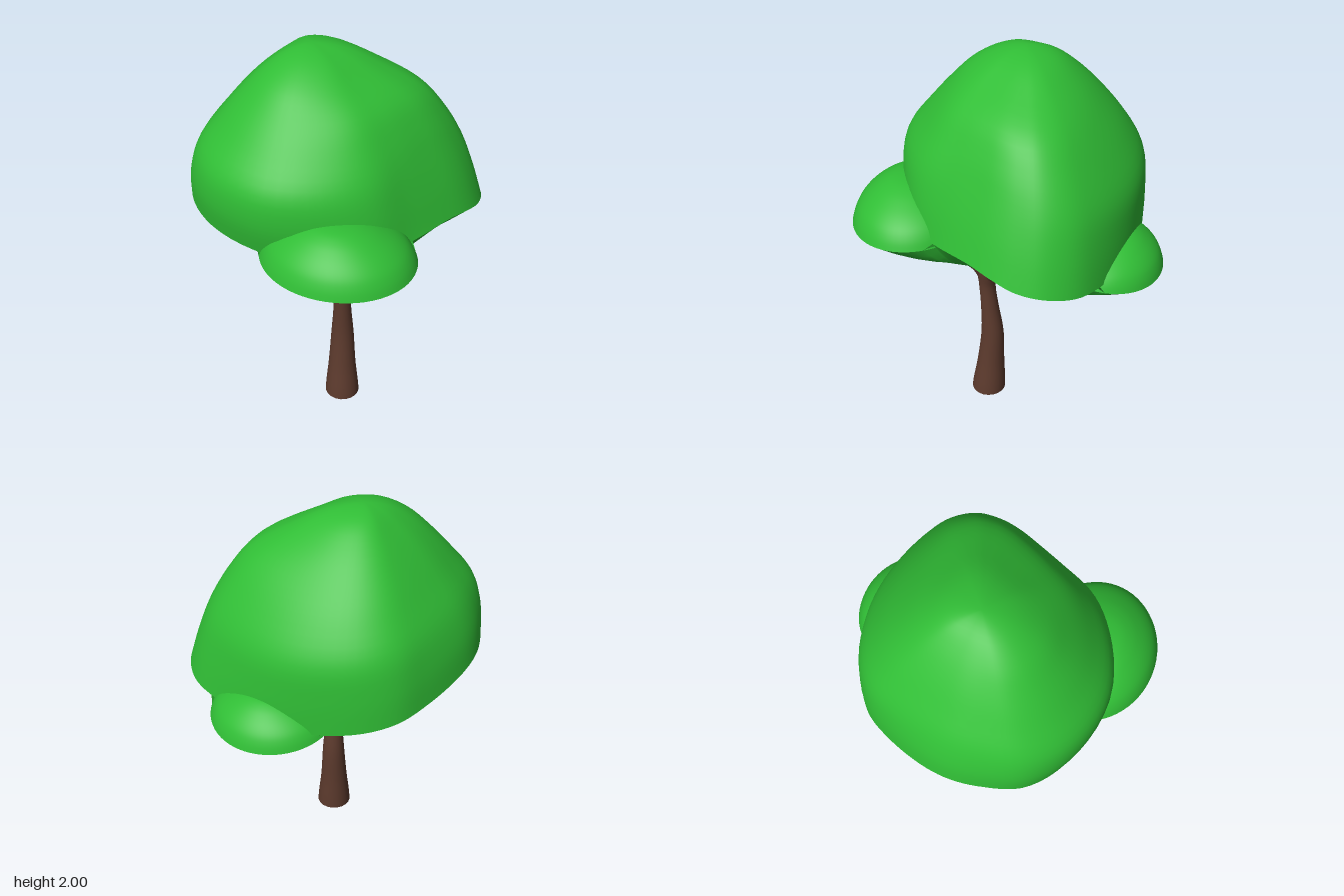
import * as THREE from 'three';
import { mergeVertices } from 'three/addons/utils/BufferGeometryUtils.js';

const leaf = new THREE.MeshStandardMaterial({ color: 0x30bd35, side: THREE.DoubleSide });
const bark = new THREE.MeshStandardMaterial({ color: 0x5c3a2d });
const V = (x, y, z) => new THREE.Vector3(x, y, z);

// Skin a stack of closed rings of equal length
function skin(name, rings, material) {
  const n = rings[0].length;
  const index = [];
  for (let i = 0; i < rings.length - 1; i++) {
    for (let j = 0; j < n; j++) {
      const k = (j + 1) % n;
      const a = i * n + j, b = i * n + k, c = a + n, d = b + n;
      index.push(a, c, b, b, c, d);
    }
  }
  let geo = new THREE.BufferGeometry().setFromPoints(rings.flat());
  geo.setIndex(index);
  geo = mergeVertices(geo, 1e-5);
  geo.computeVertexNormals();
  const mesh = new THREE.Mesh(geo, material);
  mesh.name = name;
  return mesh;
}

// Dome profile: relative radius at these relative heights
const LEVELS = [0, 0.2, 0.4, 0.58, 0.74, 0.87, 0.965, 1];
const ROUND = [1, 0.95, 0.87, 0.75, 0.6, 0.44, 0.25, 0];

// Leaf dome above a rim; profiles are for +x, +z, -x, -z, blended around it
function dome(name, rim, apex, profiles) {
  const steps = 28;
  const rings = Array.from({ length: steps + 1 }, () => []);
  for (const p of rim) {
    const ang = Math.atan2(p.z - apex.z, p.x - apex.x);
    const cx = Math.cos(ang), sz = Math.sin(ang);
    const px = profiles[cx > 0 ? 0 : 2], pz = profiles[sz > 0 ? 1 : 3];
    const pts = LEVELS.map((h, i) =>
      new THREE.Vector2(px[i] * cx * cx + pz[i] * sz * sz, h));
    pts.push(new THREE.Vector2(-pts[6].x, pts[6].y)); // rounds the apex
    const curve = new THREE.SplineCurve(pts);
    for (let s = 0; s < steps; s++) {
      const q = curve.getPoint((s / steps) * 7 / 8);
      rings[s].push(V(
        apex.x + (p.x - apex.x) * q.x,
        p.y + (apex.y - p.y) * q.y,
        apex.z + (p.z - apex.z) * q.x));
    }
    rings[steps].push(apex.clone());
  }
  return skin(name, rings, leaf);
}

// Smooth closed ring through a few points
const smoothRing = points =>
  new THREE.CatmullRomCurve3(points.map(p => V(...p)), true).getPoints(96).slice(0, 96);

// Tilted oval rim for the small clumps
function ovalRim(c, rx, rz, tilt) {
  return Array.from({ length: 64 }, (_, i) => {
    const a = (i / 64) * Math.PI * 2;
    return V(c.x + rx * Math.cos(a), c.y + tilt * Math.sin(a), c.z + rz * Math.sin(a));
  });
}

// Farthest point where a level ray from the centre crosses any of the rings
function farthestHit(rings, centre, angle) {
  const dx = Math.cos(angle), dz = Math.sin(angle);
  let best = 0, hit = centre;
  for (const ring of rings) {
    ring.forEach((p, i) => {
      const q = ring[(i + 1) % ring.length];
      const sp = (p.x - centre.x) * dz - (p.z - centre.z) * dx;
      const sq = (q.x - centre.x) * dz - (q.z - centre.z) * dx;
      if (sp * sq > 0 || sp === sq) return;
      const h = p.clone().lerp(q, sp / (sp - sq));
      const dist = (h.x - centre.x) * dx + (h.z - centre.z) * dz;
      if (dist > best) { best = dist; hit = h; }
    });
  }
  return hit;
}

// Shared underside: bevel from the joined rims to an inner edge, then a cap
function underside(rims, innerEdge, centre) {
  const group = new THREE.Group();
  group.name = 'underside';
  const n = 200;
  const trace = rings => Array.from({ length: n }, (_, i) =>
    farthestHit(rings, centre, (i / n) * Math.PI * 2));
  const outer = trace(rims), inner = trace([innerEdge]);
  const hub = outer.map(() => centre);
  const mix = (A, B, t) => A.map((p, i) => p.clone().lerp(B[i], t));
  const bevel = [0, 0.25, 0.5, 0.75, 1].map(t => {
    const ring = mix(inner, outer, t);
    ring.forEach(p => { p.y -= 0.06 * t * (1 - t); });
    return ring;
  });
  group.add(
    skin('bevel', bevel, leaf),
    skin('undersideCap', [0, 0.5, 1].map(t => mix(hub, inner, t)), leaf));
  return group;
}

// Limb with a varying radius along a smooth path; stops are [x, y, z, radius]
function limb(name, stops, closeBase = false) {
  const path = new THREE.CatmullRomCurve3(stops.map(s => V(s[0], s[1], s[2])));
  const radii = new THREE.SplineCurve(stops.map((s, i) => new THREE.Vector2(i, s[3])));
  const rows = stops.length * 5, sides = 20;
  const rings = [];
  for (let i = 0; i <= rows; i++) {
    const t = i / rows;
    const c = path.getPoint(t), r = radii.getPoint(t).y;
    const dir = closeBase && i === 0 ? V(0, 1, 0) : path.getTangent(t);
    const side = V(1, 0, 0).addScaledVector(dir, -dir.x).normalize();
    const front = side.clone().cross(dir);
    rings.push(Array.from({ length: sides }, (_, j) => {
      const a = (j / sides) * Math.PI * 2;
      return c.clone().addScaledVector(side, r * Math.cos(a)).addScaledVector(front, r * Math.sin(a));
    }));
  }
  const group = new THREE.Group();
  group.name = name;
  const cap = (ring, c) => ring.map(() => c.clone());
  group.add(skin('limbSurface', rings, bark));
  const last = rings[rows];
  group.add(skin('limbTip', [last, cap(last, path.getPoint(1))], bark));
  if (closeBase) group.add(skin('limbBase', [cap(rings[0], path.getPoint(0)), rings[0]], bark));
  return group;
}

export function createModel() {
  const tree = new THREE.Group();
  tree.name = 'tree';

  // Main crown
  const crownRim = smoothRing([
    [0.61, 1.23, 0.03], [0.52, 1.22, 0.22], [0.4, 1.2, 0.4], [0.2, 1.19, 0.52],
    [-0.1, 1.2, 0.59], [-0.4, 1.23, 0.53], [-0.585, 1.26, 0.39], [-0.66, 1.28, 0.2],
    [-0.68, 1.28, 0.05], [-0.66, 1.26, -0.1], [-0.59, 1.22, -0.3], [-0.5, 1.18, -0.45],
    [-0.35, 1.14, -0.55], [-0.1, 1.1, -0.61], [0.15, 1.09, -0.61], [0.4, 1.11, -0.555],
    [0.565, 1.13, -0.475], [0.66, 1.16, -0.35], [0.68, 1.18, -0.22], [0.66, 1.21, -0.1],
  ]);
  tree.add(dome('crown', crownRim, V(-0.12, 2, 0), [
    [1, 0.925, 0.835, 0.74, 0.615, 0.39, 0.19, 0],
    [1, 1.05, 1.02, 0.84, 0.65, 0.47, 0.24, 0],
    [1, 0.955, 0.85, 0.68, 0.51, 0.34, 0.17, 0],
    [1, 1, 0.97, 0.82, 0.63, 0.44, 0.24, 0],
  ]));

  // Small clumps low on the front and back
  const round = [ROUND, ROUND, ROUND, ROUND];
  const frontRim = ovalRim(V(0.21, 1.185, 0.45), 0.375, 0.32, -0.01);
  const backRim = ovalRim(V(0.12, 1.09, -0.48), 0.31, 0.29, 0.05);
  tree.add(dome('frontClump', frontRim, V(0.21, 1.4, 0.5), round));
  tree.add(dome('backClump', backRim, V(0.12, 1.23, -0.55), round));

  // Hollow underside joining all three
  const innerEdge = smoothRing([
    [0.4, 1.05, 0.05], [0.38, 1.03, 0.3], [0.25, 1, 0.47], [0.05, 1.01, 0.46],
    [-0.12, 1.03, 0.3], [-0.25, 1.05, 0.1], [-0.25, 1.03, -0.1], [-0.12, 0.96, -0.3],
    [0.1, 0.92, -0.42], [0.3, 0.94, -0.36], [0.4, 1, -0.18],
  ]);
  tree.add(underside([crownRim, frontRim, backRim], innerEdge, V(0.08, 1.06, 0)));

  // Trunk and branches
  tree.add(limb('trunk', [
    [0.107, 0, 0.142, 0.092], [0.1, 0.2, 0.128, 0.073], [0.097, 0.4, 0.118, 0.06],
    [0.1, 0.58, 0.13, 0.047], [0.102, 0.72, 0.14, 0.044], [0.104, 0.82, 0.135, 0.059],
    [0.106, 0.88, 0.135, 0.056], [0.106, 0.915, 0.135, 0.025],
  ], true));
  tree.add(limb('rightBranch', [
    [0.1, 0.74, 0.14, 0.035], [0.06, 0.85, 0.15, 0.042], [-0.06, 0.94, 0.17, 0.029],
    [-0.2, 1.03, 0.19, 0.023], [-0.27, 1.09, 0.19, 0.018],
  ]));
  tree.add(limb('frontBranch', [
    [0.1, 0.74, 0.14, 0.035], [0.12, 0.85, 0.175, 0.043], [0.16, 0.92, 0.26, 0.031],
    [0.21, 1.02, 0.33, 0.024], [0.23, 1.09, 0.36, 0.018],
  ]));
  tree.add(limb('backBranch', [
    [0.1, 0.74, 0.14, 0.035], [0.125, 0.83, 0.1, 0.045], [0.19, 0.89, 0, 0.033],
    [0.29, 0.96, -0.12, 0.026], [0.39, 1.02, -0.2, 0.021], [0.43, 1.07, -0.22, 0.016],
  ]));
  tree.add(limb('backTwig', [
    [0.25, 0.935, -0.08, 0.022], [0.28, 0.95, -0.18, 0.02],
    [0.3, 0.955, -0.3, 0.017], [0.31, 0.99, -0.36, 0.013],
  ]));
  return tree;
}
